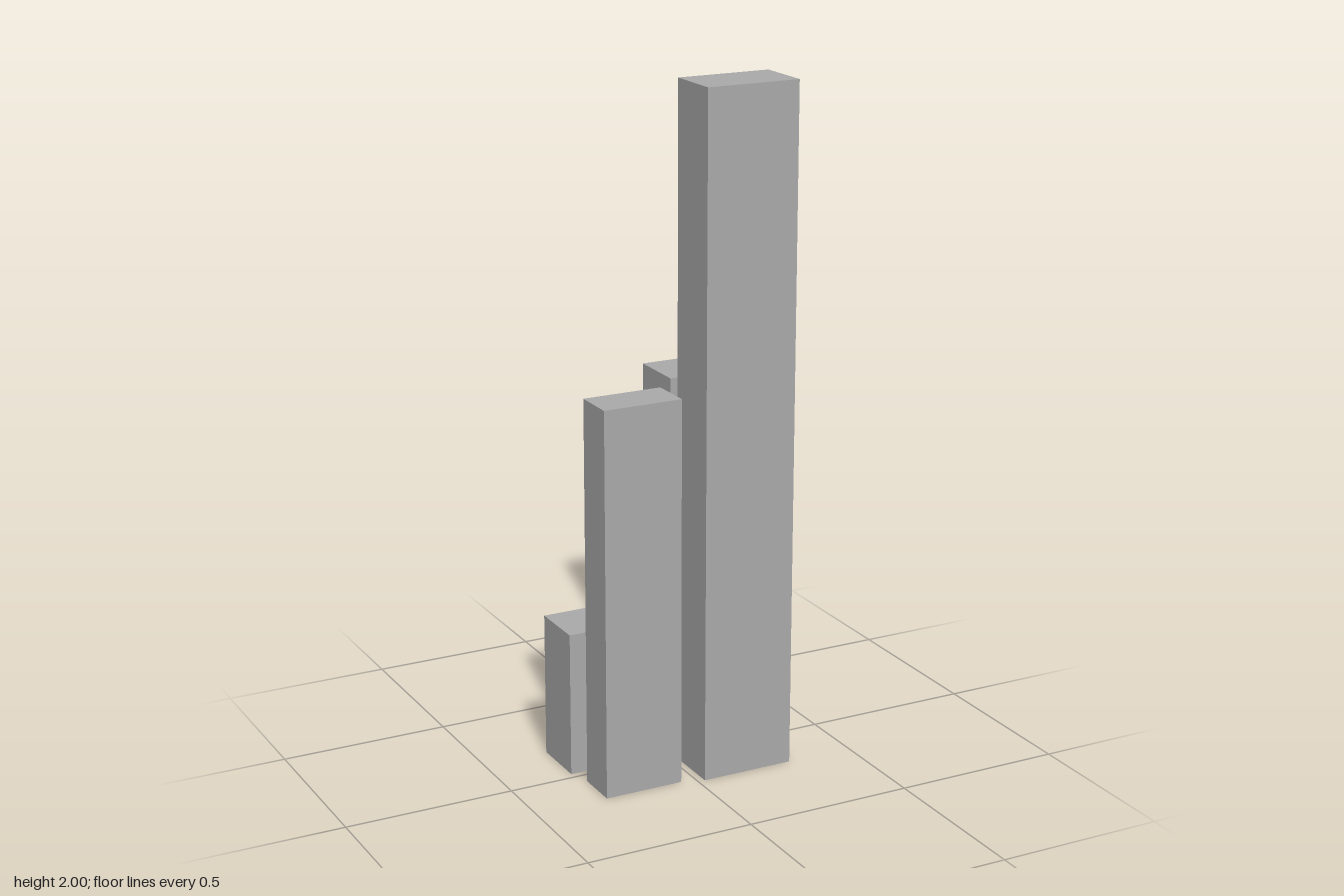
import * as THREE from 'three';

export function createModel() {
  const group = new THREE.Group();
  const grey = new THREE.MeshStandardMaterial({ color: 0xaaaaaa });
  grey.name = 'grey';

  // A block standing on the ground, given by its footprint and height
  function addTower(name, x0, x1, z0, z1, height) {
    const mesh = new THREE.Mesh(new THREE.BoxGeometry(x1 - x0, height, z1 - z0), grey);
    mesh.position.set((x0 + x1) / 2, height / 2, (z0 + z1) / 2);
    mesh.name = name;
    group.add(mesh);
  }

  addTower('tallTower', 0.021, 0.3, 0.021, 0.192, 2);
  addTower('backTower', 0.021, 0.3, -0.193, -0.022, 1.145);
  addTower('slimTower', -0.281, -0.044, 0.042, 0.17, 1.145);
  addTower('lowBlock', -0.301, -0.022, -0.193, -0.022, 0.43);

  return group;
}
